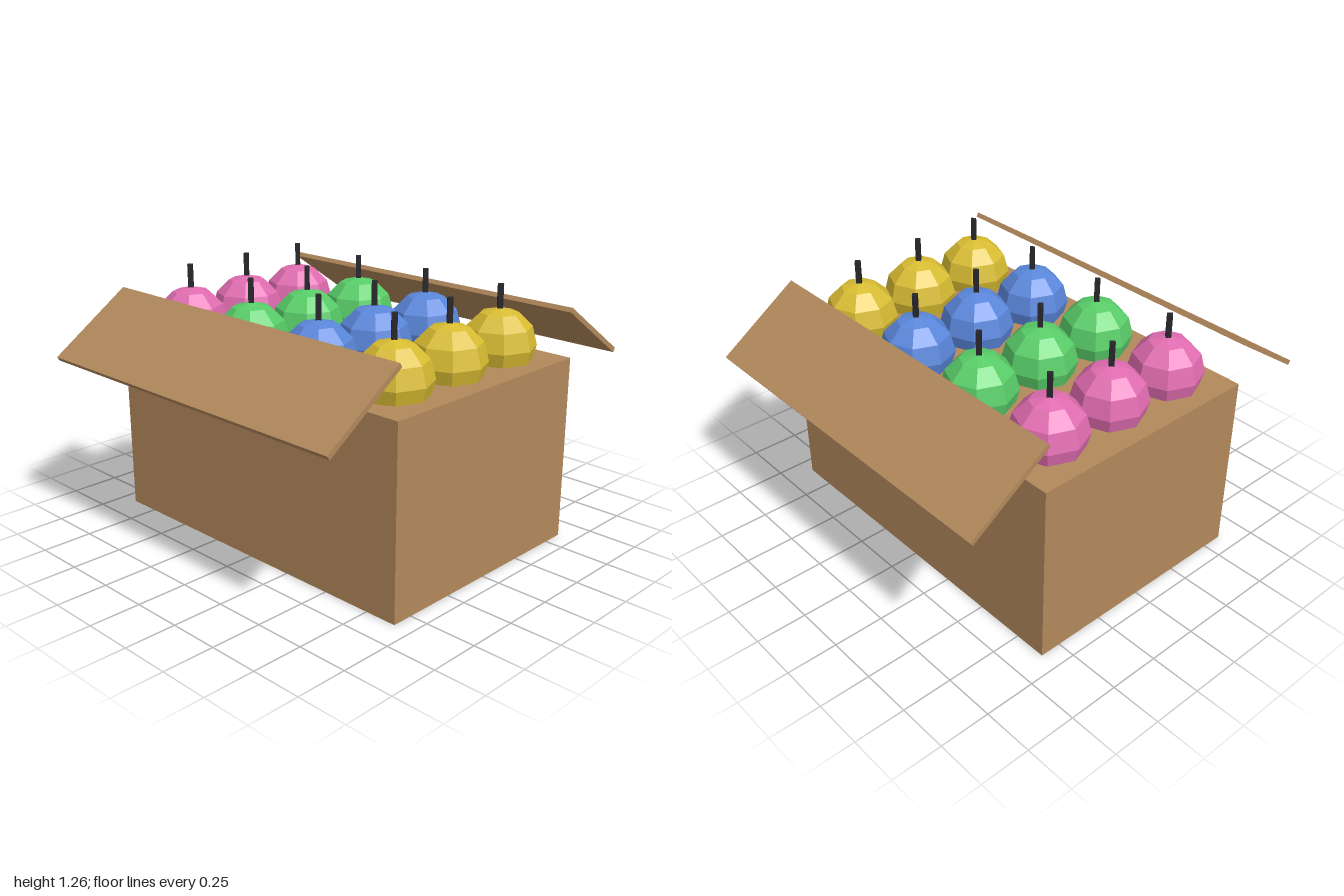
import * as THREE from 'three';

const paint = (name, color, flatShading = true) => {
  const m = new THREE.MeshStandardMaterial({ color, flatShading });
  m.name = name;
  return m;
};

export function createModel() {
  const group = new THREE.Group();
  const cardboard = paint('cardboard', 0xb3895c);
  const black = paint('stem black', 0x26262b);
  const columns = [
    paint('pink', 0xe06cb0),
    paint('green', 0x58cc68),
    paint('blue', 0x5a86da),
    paint('yellow', 0xd8bc32),
  ];

  const add = (parent, name, geometry, material, x, y, z) => {
    const mesh = new THREE.Mesh(geometry, material);
    mesh.name = name;
    mesh.position.set(x, y, z);
    parent.add(mesh);
    return mesh;
  };

  // Box body
  add(group, 'box', new THREE.BoxGeometry(1.82, 0.91, 1.21), cardboard, 0, 0.455, 0);

  // Two open flaps sloping outwards, front and back
  const flap = new THREE.BoxGeometry(1.82, 0.024, 0.487);
  for (const side of [1, -1]) {
    const mesh = add(group, side > 0 ? 'frontFlap' : 'backFlap', flap, cardboard, 0, 1.003, side * 0.7925);
    mesh.rotation.x = side * 0.6;
  }

  // Four columns of three faceted balls, each with a stem
  const ball = new THREE.SphereGeometry(0.18, 8, 6);
  const stem = new THREE.CylinderGeometry(0.018, 0.018, 0.145, 4);
  columns.forEach((material, i) => {
    for (let row = -1; row <= 1; row++) {
      const item = new THREE.Group();
      item.name = 'stemmedBall';
      item.position.set((i - 1.5) * 0.447, 0.975, row * 0.364);
      add(item, 'ball', ball, material, 0, 0, 0);
      add(item, 'stem', stem, black, 0, 0.2175, 0);
      group.add(item);
    }
  });

  return group;
}
